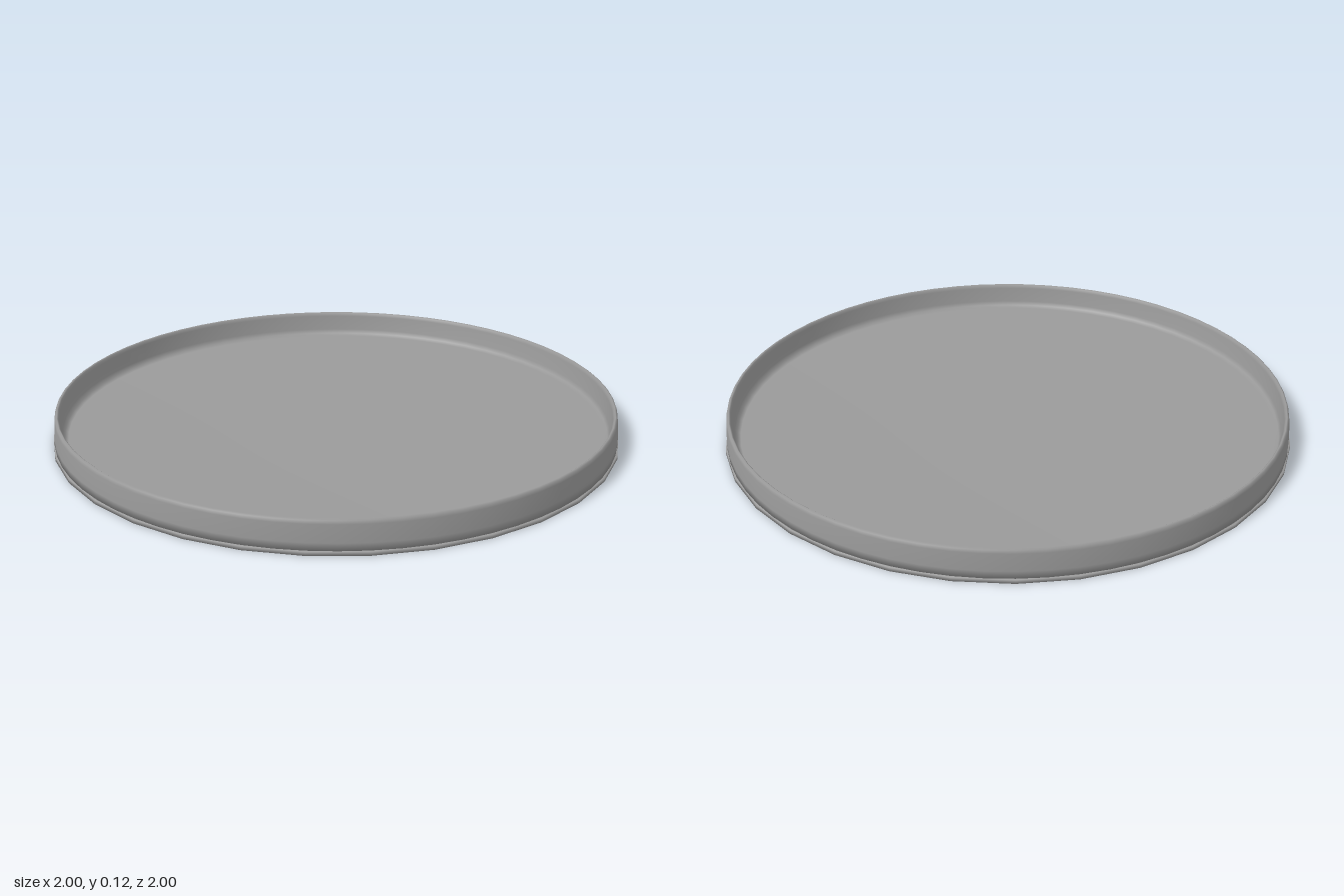
import * as THREE from 'three';

export function createModel() {
  const tray = new THREE.Group();
  tray.name = 'roundTray';
  const material = new THREE.MeshStandardMaterial({ color: 0x9a9a9a });

  // Revolves a [radius, height] profile, smooth along its length
  const addTurned = (name, sides, profile) => {
    const points = profile.map(([r, y]) => new THREE.Vector2(r, y));
    const mesh = new THREE.Mesh(new THREE.LatheGeometry(points, sides), material);
    mesh.name = name;
    tray.add(mesh);
  };

  // Thin foot disc, coarser than the dish it carries
  addTurned('foot', 32, [[0, 0], [1, 0], [0.999, 0.013], [0.97, 0.014]]);

  // Dish: tapering outer wall, rounded lip, inner wall and fillet into the floor
  addTurned('dish', 64, [
    [0.94, 0.013], [0.993, 0.014], [0.993, 0.04], [0.989, 0.1], [0.986, 0.111], [0.98, 0.115],
    [0.975, 0.111], [0.972, 0.1], [0.965, 0.045], [0.958, 0.03], [0.945, 0.022], [0, 0.022],
  ]);

  return tray;
}
